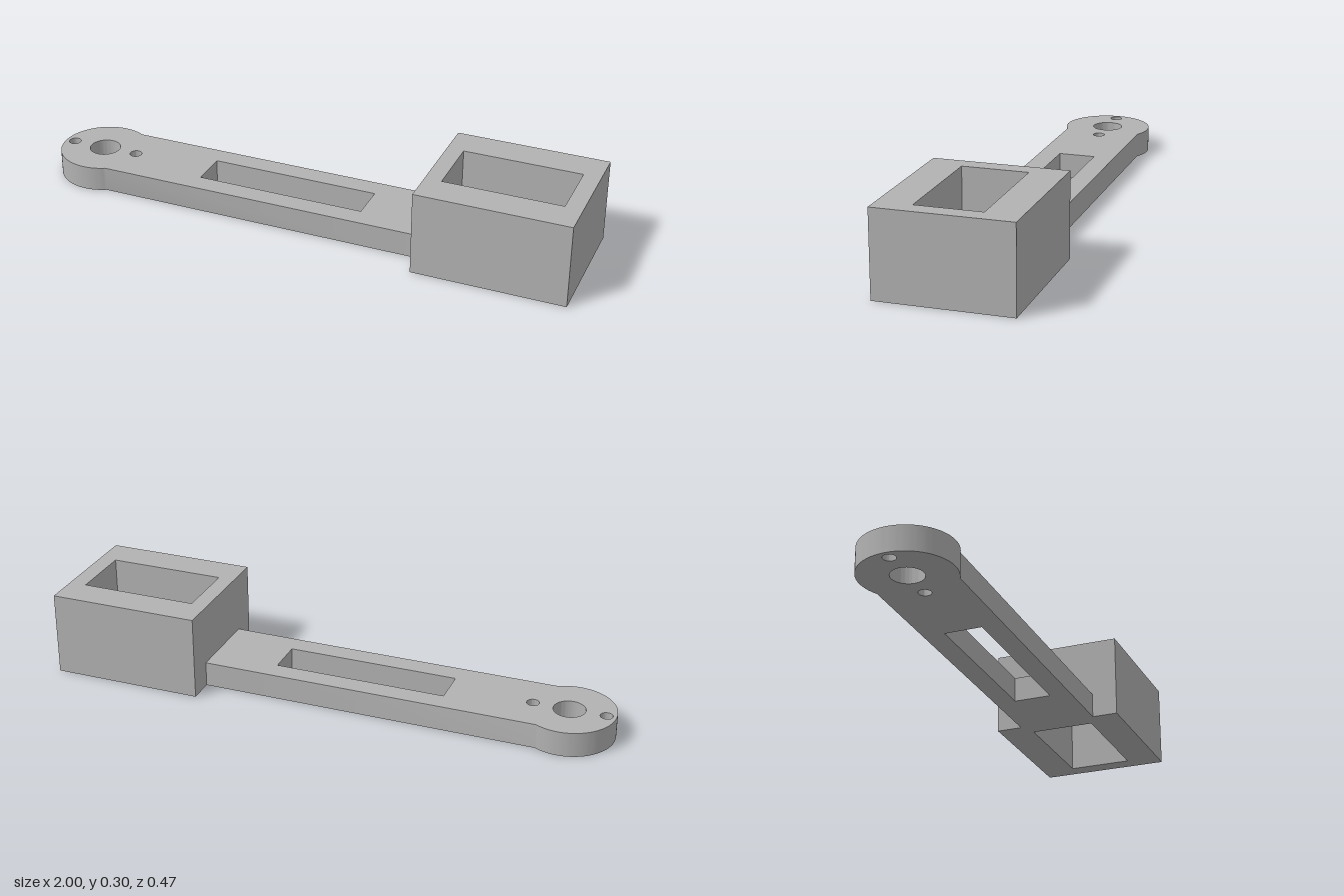
import * as THREE from 'three';
import { toCreasedNormals } from 'three/addons/utils/BufferGeometryUtils.js';

const rectPath = (x0, x1, h, Type = THREE.Path) =>
  new Type([[x0, -h], [x1, -h], [x1, h], [x0, h]].map(([x, y]) => new THREE.Vector2(x, y)));

const circlePath = (x, r) => new THREE.Path().absarc(x, 0, r, 0, Math.PI * 2, true);

// Plan outline raised from the ground to the given height
function plate(name, shape, height, material) {
  const geometry = new THREE.ExtrudeGeometry(shape, { depth: height, bevelEnabled: false, curveSegments: 40 });
  geometry.rotateX(-Math.PI / 2);
  const mesh = new THREE.Mesh(toCreasedNormals(geometry, 0.5), material);
  mesh.name = name;
  return mesh;
}

export function createModel() {
  const group = new THREE.Group();
  group.name = 'servoArm';
  const grey = new THREE.MeshStandardMaterial({ color: 0xb2b2b2 });
  grey.name = 'grey';

  // Arm: straight bar ending in a round hub
  const hubX = -0.837, hubR = 0.163, armHalf = 0.143, boxX = 0.455;
  const angle = Math.asin(armHalf / hubR);
  const arm = new THREE.Shape();
  arm.moveTo(boxX, -armHalf);
  arm.lineTo(boxX, armHalf);
  arm.absarc(hubX, 0, hubR, angle, Math.PI * 2 - angle, false);
  arm.closePath();

  // Shaft hole, two screw holes and the long slot
  arm.holes.push(
    circlePath(hubX, 0.056),
    circlePath(hubX - 0.128, 0.022),
    circlePath(hubX + 0.128, 0.022),
    rectPath(-0.41, 0.21, 0.067)
  );
  group.add(plate('arm', arm, 0.09, grey));

  // Open rectangular housing
  const housing = rectPath(boxX, 1, 0.236, THREE.Shape);
  housing.holes.push(rectPath(0.515, 0.938, 0.115));
  group.add(plate('housing', housing, 0.302, grey));

  return group;
}
